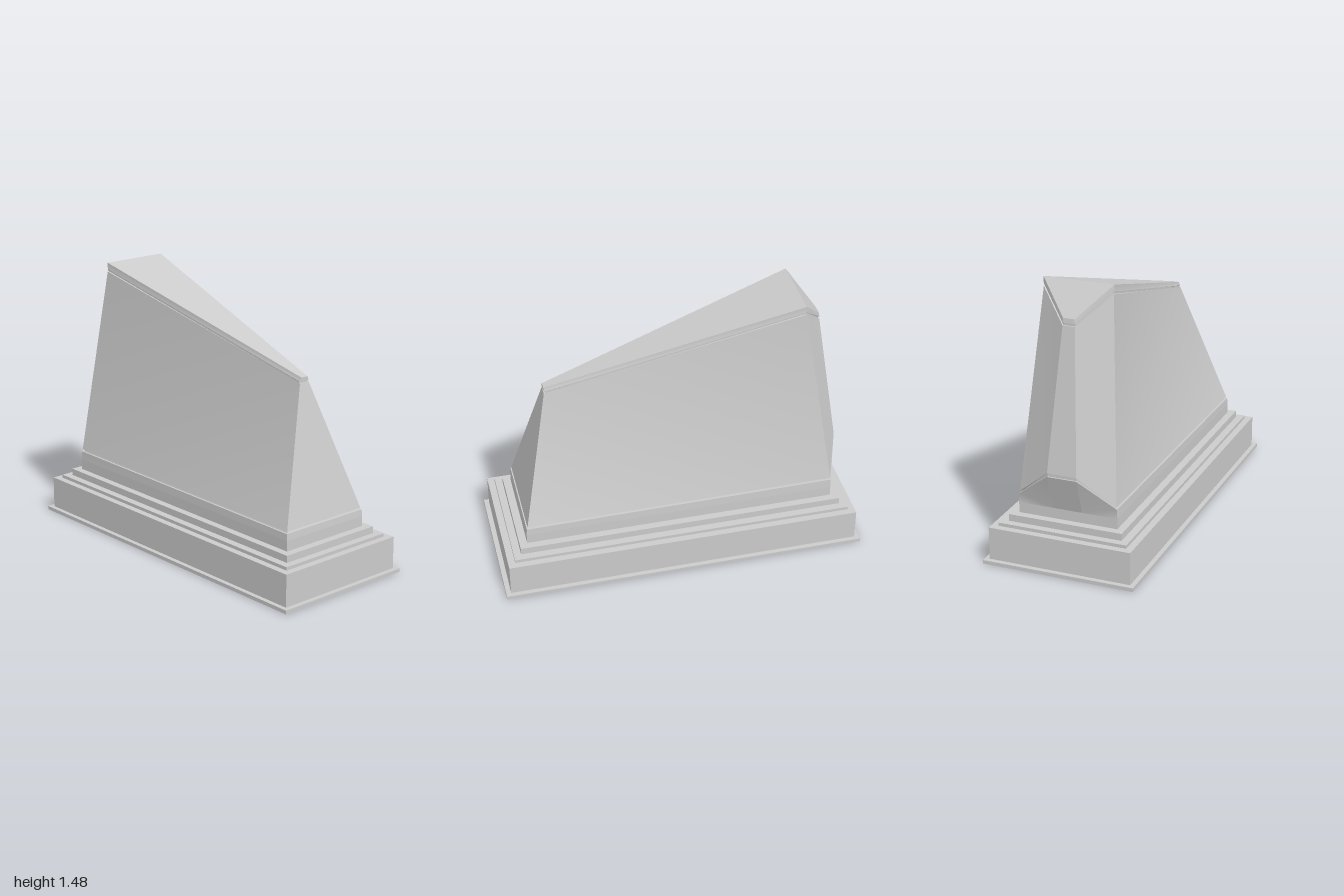
import * as THREE from 'three';
import { mergeGeometries } from 'three/addons/utils/BufferGeometryUtils.js';

const material = new THREE.MeshStandardMaterial({ color: 0xcccccc, side: THREE.DoubleSide });

// Smoothly shaded panel, counter-clockwise from outside, folded along a-c
function panel(a, b, c, d) {
  const g = new THREE.BufferGeometry().setFromPoints([a, b, c, d]);
  g.setIndex([0, 1, 2, 0, 2, 3]);
  g.computeVertexNormals();
  return g;
}

// Six-cornered ring from three half-ring corners: tail, shoulder, prow
function ring(tail, shoulder, prow) {
  const at = ([x, y, z], s) => new THREE.Vector3(x, y, z * s);
  return [at(tail, 1), at(tail, -1), at(shoulder, -1), at(prow, -1), at(prow, 1), at(shoulder, 1)];
}

const inset = r => r.map(p => new THREE.Vector3(p.x - Math.sign(p.x) * 0.008, p.y, p.z * 0.965));

// Separate panels between successive rings keep the corners sharp;
// the fold is mirrored on the back so both sides match
function loft(rings) {
  const parts = [];
  for (let k = 0; k + 1 < rings.length; k++) {
    const lo = rings[k], hi = rings[k + 1];
    for (let i = 0; i < 6; i++) {
      const j = (i + 1) % 6;
      parts.push(i < 3 ? panel(lo[j], hi[j], hi[i], lo[i]) : panel(lo[i], lo[j], hi[j], hi[i]));
    }
  }
  return parts;
}

export function createModel() {
  const group = new THREE.Group();
  const add = (name, geometry) => {
    const mesh = new THREE.Mesh(geometry, material);
    mesh.name = name;
    group.add(mesh);
  };

  // Stepped base: name, half length, half depth, bottom, top
  for (const [name, hx, hz, y0, y1] of [
    ['groundSlab', 1, 0.415, 0, 0.02],
    ['plinth', 0.973, 0.39, 0.02, 0.197],
    ['lowerStep', 0.935, 0.353, 0.197, 0.215],
    ['upperStep', 0.895, 0.312, 0.215, 0.253],
  ]) {
    add(name, new THREE.BoxGeometry(2 * hx, y1 - y0, 2 * hz).translate(0, (y0 + y1) / 2, 0));
  }

  const footBottom = ring([0.853, 0.253, 0.272], [-0.853, 0.253, 0.272], [-0.853, 0.253, 0.08]);
  const footMiddle = ring([0.853, 0.31, 0.272], [-0.853, 0.31, 0.272], [-0.853, 0.31, 0.08]);
  const footTop = ring([0.85, 0.345, 0.27], [-0.853, 0.36, 0.27], [-0.922, 0.51, 0.08]);
  const bodyBottom = ring([0.845, 0.354, 0.265], [-0.85, 0.372, 0.267], [-0.922, 0.53, 0.08]);
  const bodyTop = ring([0.682, 1.05, 0.031], [-0.685, 1.43, 0.188], [-0.81, 1.282, 0.033]);
  const capBottom = ring([0.682, 1.06, 0.03], [-0.683, 1.445, 0.189], [-0.81, 1.297, 0.033]);
  const capTop = ring([0.682, 1.08, 0.021], [-0.682, 1.48, 0.19], [-0.807, 1.32, 0.03]);

  // Foot rising into the prow, then the tapering body
  add('foot', mergeGeometries(loft([footBottom, footMiddle, footTop])));
  add('lowerSeam', mergeGeometries(loft([footTop, inset(footTop), inset(bodyBottom), bodyBottom])));
  add('body', mergeGeometries(loft([bodyBottom, bodyTop])));
  add('upperSeam', mergeGeometries(loft([bodyTop, inset(bodyTop), inset(capBottom), capBottom])));

  // Cap with a long sloping roof and a short slope over the prow
  const [t1, t2, s2, p2, p1, s1] = capTop;
  add('cap', mergeGeometries([
    ...loft([capBottom, capTop]),
    panel(t1, t2, s2, s1),
    panel(s1, s2, p2, p1),
  ]));
  return group;
}
